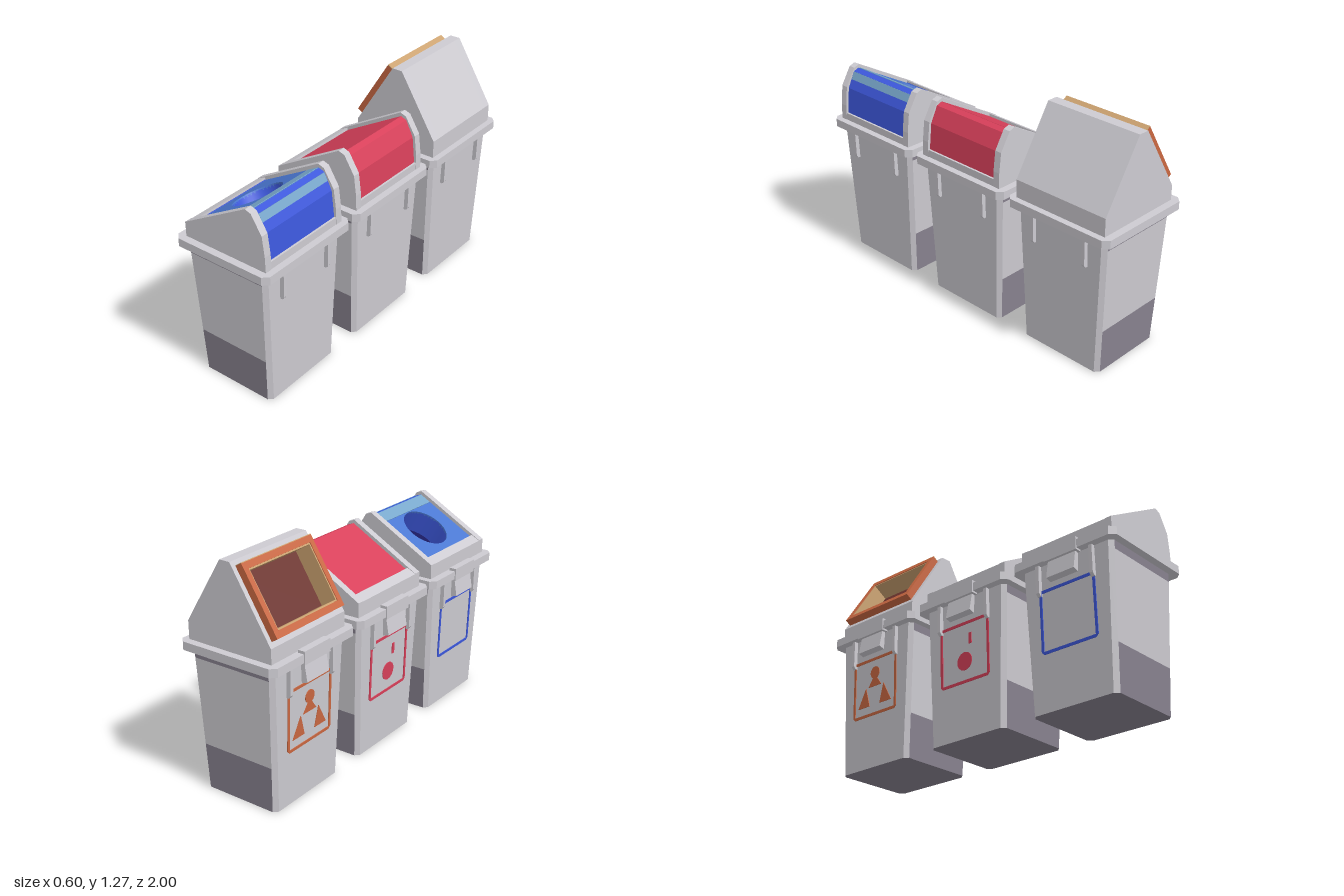
import * as THREE from 'three';

const mat = (name, color) => {
  const m = new THREE.MeshStandardMaterial({ color, side: THREE.DoubleSide });
  m.name = name;
  return m;
};

export function createModel() {
  const grey = mat('light grey', 0xcdcbd1);
  const shade = mat('purple grey', 0x88828f);
  const red = mat('red', 0xd8405a);
  const blue = mat('blue', 0x3d58dc);
  const paleBlue = mat('pale blue', 0x79a8cc);
  const midBlue = mat('mid blue', 0x4b78d2);
  const navy = mat('navy', 0x14145c);
  const orange = mat('orange', 0xca6842);
  const tan = mat('tan', 0xcba270);
  const brown = mat('brown', 0x6e342e);

  const add = (parent, name, geo, material, x = 0, y = 0, z = 0) => {
    const m = new THREE.Mesh(geo, material);
    m.name = name;
    m.position.set(x, y, z);
    parent.add(m);
    return m;
  };
  const box = (w, h, d) => new THREE.BoxGeometry(w, h, d);
  const polygon = pts => new THREE.Shape(pts.map(p => new THREE.Vector2(p[0], p[1])));

  // Side profile in x/y, extruded along z from z0 to z1
  const prism = (pts, z0, z1) =>
    new THREE.ExtrudeGeometry(polygon(pts), { depth: z1 - z0, bevelEnabled: false }).translate(0, 0, z0);

  // Flat plate lying in x/z, its thickness rising from y = 0
  const plate = (w, d, t, hole) => {
    const s = polygon([[-w / 2, -d / 2], [w / 2, -d / 2], [w / 2, d / 2], [-w / 2, d / 2]]);
    if (hole) s.holes.push(hole);
    return new THREE.ExtrudeGeometry(s, { depth: t, bevelEnabled: false, curveSegments: 24 }).rotateX(-Math.PI / 2);
  };
  const rectPath = (w, h) =>
    new THREE.Path([[-w, -h], [-w, h], [w, h], [w, -h]].map(p => new THREE.Vector2(p[0] / 2, p[1] / 2)));

  // Loft between two corner-cut rectangles [y, halfX, halfZ, cut]; sides with index in darkSides use material 1
  const loft = (lo, hi, darkSides, capBottom, capTop) => {
    const ring = ([y, a, b, c]) => [
      [a, y, c - b], [a, y, b - c], [a - c, y, b], [c - a, y, b],
      [-a, y, b - c], [-a, y, c - b], [c - a, y, -b], [a - c, y, -b]];
    const A = ring(lo), B = ring(hi), pos = [], geo = new THREE.BufferGeometry();
    const tri = (...p) => p.forEach(q => pos.push(...q));
    for (let i = 0; i < 8; i++) {
      const j = (i + 1) % 8;
      geo.addGroup(pos.length / 3, 6, darkSides.includes(i) ? 1 : 0);
      tri(A[i], B[i], B[j], A[i], B[j], A[j]);
    }
    const start = pos.length / 3;
    for (let i = 1; i < 7; i++) {
      if (capBottom) tri(A[0], A[i], A[i + 1]);
      if (capTop) tri(B[0], B[i + 1], B[i]);
    }
    geo.addGroup(start, pos.length / 3 - start, capBottom && !capTop ? 1 : 0);
    geo.setAttribute('position', new THREE.Float32BufferAttribute(pos, 3));
    geo.computeVertexNormals();
    return geo;
  };

  const H = 0.77;
  const level = y => [y, 0.225 + 0.028 * y / H, 0.25 + 0.03 * y / H, 0.022];

  // Tapered body, rim, ribs and latch
  function bin(name, z) {
    const g = new THREE.Group();
    g.name = name;
    g.position.set(0, 0, z);
    const mats = [grey, shade];
    add(g, 'lowerBody', loft(level(0), level(0.25), [2, 6], true, false), mats);
    add(g, 'middleBody', loft(level(0.25), level(0.725), [], false, false), mats);
    add(g, 'upperBody', loft(level(0.725), level(H), [2, 6], false, false), mats);
    add(g, 'rim', loft([H, 0.295, 0.32, 0.03], [0.815, 0.295, 0.32, 0.03], [], true, true), grey);
    for (const sx of [-1, 1]) for (const sz of [-1, 1]) {
      const rib = [[0.235, H], [0.275, H], [0.272, 0.62], [0.26, 0.605], [0.235, 0.605]].map(p => [sx * p[0], p[1]]);
      add(g, 'rib', prism(rib, sz * 0.165 - 0.01, sz * 0.165 + 0.01), grey);
    }
    add(g, 'latch', box(0.04, 0.07, 0.2), grey, -0.281, 0.795, 0);
    add(g, 'latchTab', prism([[-0.285, 0.765], [-0.265, 0.765], [-0.268, 0.655], [-0.302, 0.665]], -0.085, 0.085), grey);
    return g;
  }

  // Square outline and simple shapes on the tilted -x face; local x runs along z
  function label(g, material, shapes) {
    const s = new THREE.Group();
    s.name = 'label';
    s.position.set(-0.2435, 0.465, 0);
    s.rotation.set(0, -Math.PI / 2, 0);
    const face = new THREE.Group();
    face.rotation.x = 0.036;
    s.add(face);
    const frame = polygon([[-0.17, -0.155], [-0.155, -0.17], [0.155, -0.17], [0.17, -0.155],
      [0.17, 0.155], [0.155, 0.17], [-0.155, 0.17], [-0.17, 0.155]]);
    frame.holes.push(rectPath(0.31, 0.31));
    [frame, ...shapes].forEach((shape, i) => add(face, i ? 'labelShape' : 'labelFrame',
      new THREE.ExtrudeGeometry(shape, { depth: 0.004, bevelEnabled: false }), material));
    g.add(s);
  }
  const disc = (x, y, r) => new THREE.Shape().absarc(x, y, r, 0, Math.PI * 2);

  // Low lid: end cheeks with coloured sloping and rear panels between them
  function lowLid(g, topMat, rearMat, hasHole) {
    const cheek = [[-0.25, 0.81], [0.26, 0.81], [0.258, 0.9], [0.245, 1.01], [0.185, 1.108], [0.15, 1.12], [-0.25, 0.895]];
    add(g, 'lidCheek', prism(cheek, 0.24, 0.28), grey);
    add(g, 'lidCheek', prism(cheek, -0.28, -0.24), grey);
    add(g, 'lidLip', prism([[-0.25, 0.81], [-0.19, 0.81], [-0.2, 0.918], [-0.25, 0.893]], -0.24, 0.24), grey);
    add(g, 'lidSill', box(0.06, 0.045, 0.48), grey, 0.228, 0.833, 0);
    add(g, 'rearPanel', prism([[0.155, 1.1], [0.188, 1.088], [0.232, 1], [0.247, 0.85],
      [0.225, 0.85], [0.21, 0.99], [0.175, 1.06], [0.155, 1.07]], -0.24, 0.24), rearMat);
    const slope = new THREE.Group();
    slope.name = 'slopePanel';
    slope.position.set(-0.025, 0.983, 0);
    slope.rotation.z = 0.51;
    g.add(slope);
    const hole = hasHole ? new THREE.Path().absarc(0, 0, 0.135, 0, Math.PI * 2, true) : null;
    add(slope, 'slopePlate', plate(0.43, 0.48, 0.015, hole), topMat);
    if (!hasHole) return;
    add(slope, 'throwHole', new THREE.CylinderGeometry(0.135, 0.135, 0.135, 40, 1, true), blue, 0, -0.06, 0);
    add(slope, 'holeFloor', new THREE.CircleGeometry(0.135, 40).rotateX(-Math.PI / 2), navy, 0, -0.125, 0);
    add(slope, 'upperBand', box(0.07, 0.004, 0.47), paleBlue, 0.175, 0.016, 0);
    add(slope, 'lowerBand', box(0.025, 0.004, 0.47), blue, -0.195, 0.016, 0);
    const strip = add(g, 'rearStrip', box(0.045, 0.004, 0.47), paleBlue, 0.2, 1.068, 0);
    strip.rotation.z = -1.116;
  }

  // Tall lid with a framed, recessed opening on its -x slope
  function tallLid(g) {
    const a = Math.atan2(0.37, 0.23), mid = [-0.135, 1.08];
    const at = (u, n) => [mid[0] + u * Math.cos(a) - n * Math.sin(a), mid[1] + u * Math.sin(a) + n * Math.cos(a)];
    const base = [[-0.25, 0.81], [0.26, 0.81], [0.26, 0.913], [0.04, 1.265], [-0.02, 1.265]];
    const solid = [...base, [-0.25, 0.895]];
    const notched = [...base, at(0.16, 0), at(0.16, -0.08), at(-0.16, -0.08), at(-0.16, 0), [-0.25, 0.895]];
    add(g, 'lidEnd', prism(solid, 0.23, 0.28), grey);
    add(g, 'lidEnd', prism(solid, -0.28, -0.23), grey);
    add(g, 'lidMiddle', prism(notched, -0.23, 0.23), grey);
    const flap = new THREE.Group();
    flap.name = 'openingFrame';
    flap.position.set(mid[0], mid[1], 0);
    flap.rotation.z = a;
    g.add(flap);
    add(flap, 'frame', plate(0.38, 0.51, 0.04, rectPath(0.31, 0.45)), orange);
    add(flap, 'frameTop', box(0.004, 0.04, 0.51), tan, 0.191, 0.02, 0);
    for (const s of [-1, 1]) {
      add(flap, 'lining', box(0.008, 0.1, 0.45), tan, s * 0.151, -0.014, 0);
      add(flap, 'sideLining', box(0.31, 0.1, 0.008), tan, 0, -0.014, s * 0.222);
    }
    add(flap, 'openingBack', box(0.31, 0.006, 0.45), brown, 0, -0.066, 0);
  }

  const model = new THREE.Group();
  model.name = 'recyclingBins';
  const blueBin = bin('blueBin', 0.68);
  lowLid(blueBin, midBlue, blue, true);
  label(blueBin, blue, []);
  const redBin = bin('redBin', 0);
  lowLid(redBin, red, red, false);
  label(redBin, red, [disc(0, -0.05, 0.05), polygon([[0.03, 0.04], [0.05, 0.04], [0.05, 0.1], [0.03, 0.1]])]);
  const orangeBin = bin('orangeBin', -0.68);
  tallLid(orangeBin);
  label(orangeBin, orange, [disc(0, 0.08, 0.035),
    polygon([[-0.13, -0.11], [-0.04, -0.11], [-0.07, 0]]),
    polygon([[0.04, -0.11], [0.13, -0.11], [0.07, 0]]),
    polygon([[-0.05, 0.0], [0.05, 0.0], [0, 0.07]])]);
  model.add(blueBin, redBin, orangeBin);
  return model;
}
